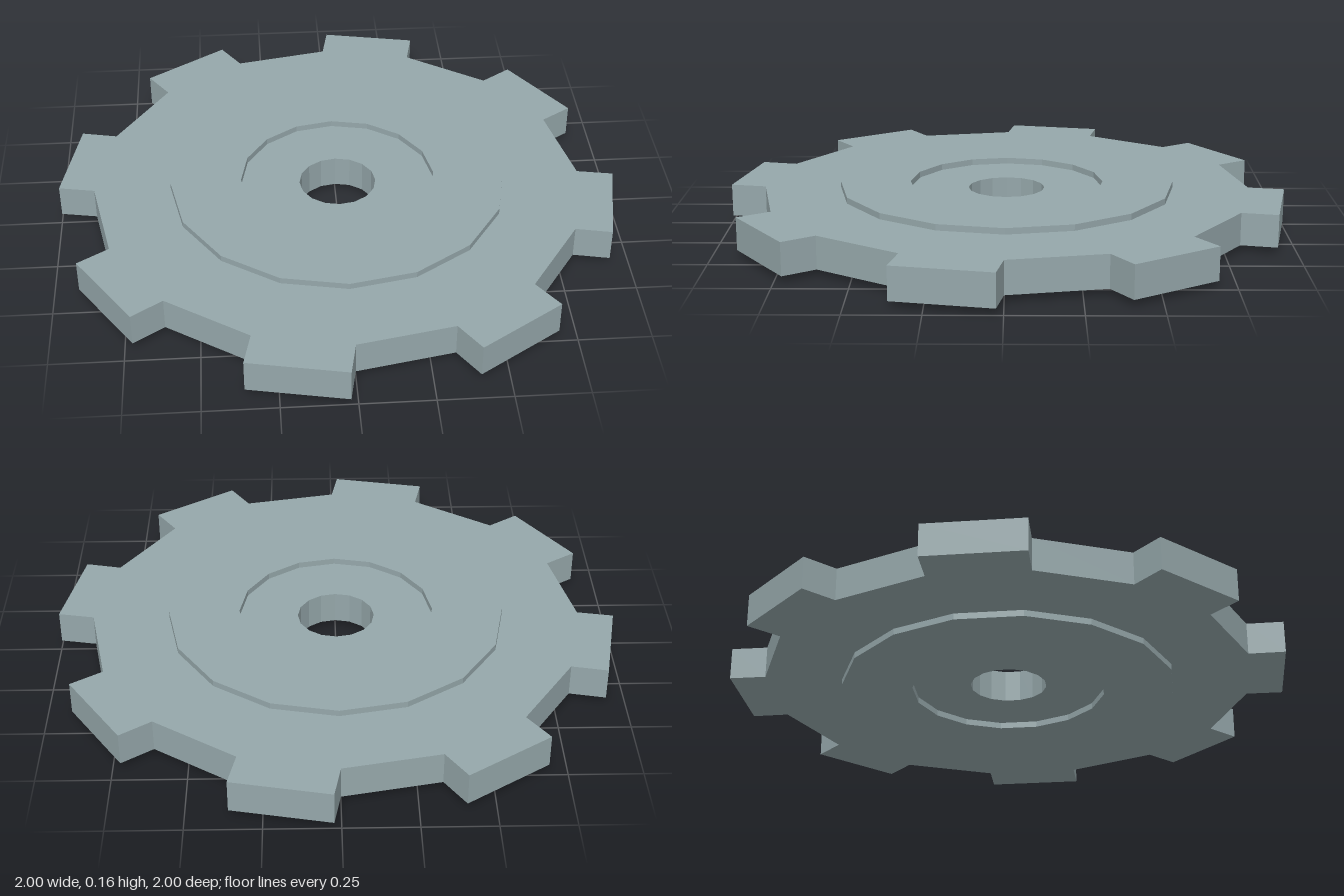
import * as THREE from 'three';

const TAU = Math.PI * 2;
const TEETH = 8, SIDES = 16;
const HEIGHT = 0.16, STEP = 0.022;

// Point at radius r, angle measured clockwise from the back (seen from above)
const polar = (r, deg) => {
  const a = deg * TAU / 360;
  return new THREE.Vector2(r * Math.sin(a), r * Math.cos(a));
};

const ringPoints = (r) =>
  Array.from({ length: SIDES }, (_, i) => polar(r, i * 360 / SIDES));

// Flat outline with a round hole, extruded upwards from y0 to y1
function slab(name, outline, holeRadius, y0, y1, material) {
  const shape = new THREE.Shape(outline);
  shape.holes.push(new THREE.Path(ringPoints(holeRadius).reverse()));
  const geometry = new THREE.ExtrudeGeometry(shape, { depth: y1 - y0, bevelEnabled: false });
  geometry.rotateX(-Math.PI / 2).translate(0, y0, 0);
  const mesh = new THREE.Mesh(geometry, material);
  mesh.name = name;
  return mesh;
}

export function createModel() {
  const steel = new THREE.MeshStandardMaterial({ color: 0x95a7aa, flatShading: true });
  steel.name = 'steel grey';

  // Toothed outline: root, tip, tip, root for every tooth
  const outline = [];
  for (let i = 0; i < TEETH; i++) {
    const a = i * 360 / TEETH;
    outline.push(polar(0.873, a), polar(1.0, a + 1.35), polar(1.0, a + 21.15), polar(0.873, a + 22.5));
  }

  const group = new THREE.Group();
  group.name = 'gear';
  group.add(
    slab('toothedPlate', outline, 0.137, STEP, HEIGHT - STEP, steel),
    // Raised collars on both faces, leaving a recessed hub
    slab('topCollar', ringPoints(0.6), 0.347, HEIGHT - STEP, HEIGHT, steel),
    slab('bottomCollar', ringPoints(0.6), 0.347, 0, STEP, steel),
  );
  return group;
}
